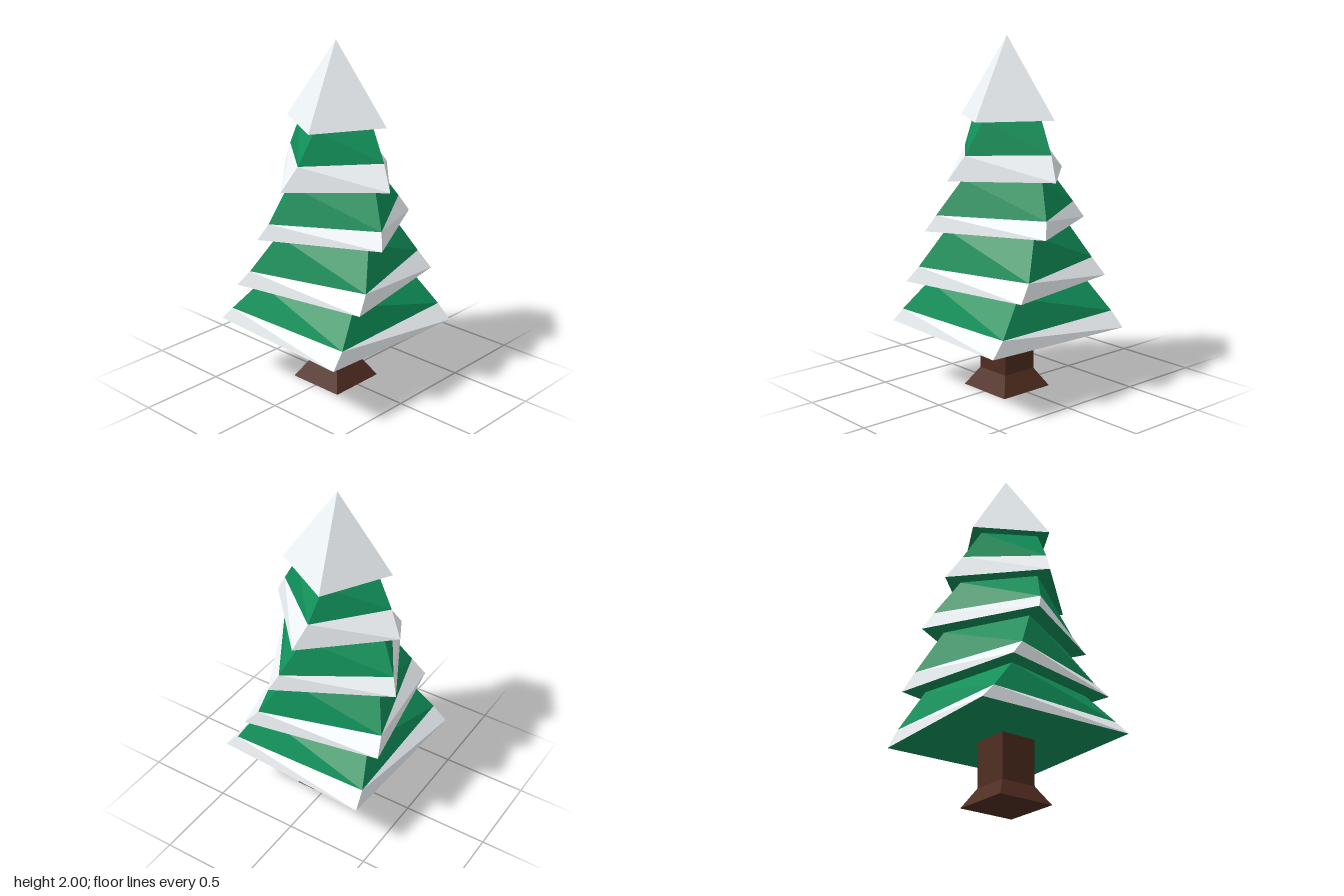
import * as THREE from 'three';

const material = (color) => new THREE.MeshStandardMaterial({ color, flatShading: true });

// Four corners of a square ring: height, corner radius, twist in degrees
function corners([y, r, deg]) {
  return [0, 1, 2, 3].map((k) => {
    const a = THREE.MathUtils.degToRad(deg + 90 * k);
    return [r * Math.cos(a), y, r * Math.sin(a)];
  });
}

function fromTriangles(points) {
  const g = new THREE.BufferGeometry();
  g.setAttribute('position', new THREE.Float32BufferAttribute(points.flat(), 3));
  g.computeVertexNormals();
  return g;
}

// Sloping four-sided band between two twisted rings
function band(lower, upper) {
  const a = corners(lower), b = corners(upper), tris = [];
  for (let k = 0; k < 4; k++) {
    const n = (k + 1) % 4;
    tris.push(a[n], a[k], b[n]);
    if (upper[1] > 0) tris.push(a[k], b[k], b[n]);
  }
  return fromTriangles(tris);
}

// Flat square facing down
function underside(ring) {
  const a = corners(ring);
  return fromTriangles([a[0], a[1], a[2], a[0], a[2], a[3]]);
}

export function createModel() {
  const tree = new THREE.Group();
  tree.name = 'snowyTree';
  const green = material(0x10905a);
  const snow = material(0xeef3f6);
  const bark = material(0x4f2c20);

  const add = (parent, name, geometry, mat) => {
    const mesh = new THREE.Mesh(geometry, mat);
    mesh.name = name;
    parent.add(mesh);
    return mesh;
  };

  // Trunk with a flared foot
  const trunk = new THREE.Group();
  trunk.name = 'trunk';
  add(trunk, 'trunkPost', new THREE.BoxGeometry(0.216, 0.27, 0.216), bark).position.y = 0.24;
  add(trunk, 'trunkFootSides', band([0, 0.172 * Math.SQRT2, 45], [0.105, 0.108 * Math.SQRT2, 45]), bark);
  add(trunk, 'trunkFootBase', underside([0, 0.172 * Math.SQRT2, 45]), bark);
  tree.add(trunk);

  // Tiers from the bottom up: hem, top of the snow edge, top of the foliage
  const tiers = [
    [[0.365, 0.659, 48], [0.45, 0.594, 43.7], [0.635, 0.44, 34]],
    [[0.635, 0.568, 34.2], [0.73, 0.503, 28.5], [0.95, 0.364, 18]],
    [[0.95, 0.491, 17.1], [1.04, 0.437, 13.2], [1.235, 0.306, 3.5]],
    [[1.235, 0.412, 2.5], [1.37, 0.328, -5], [1.55, 0.227, -14]],
  ];
  tiers.forEach(([hem, snowTop, top], i) => {
    const tier = new THREE.Group();
    tier.name = `tier${i + 1}`;
    add(tier, 'snowEdge', band(hem, snowTop), snow);
    add(tier, 'foliage', band(snowTop, top), green);
    add(tier, 'tierUnderside', underside(hem), green);
    tree.add(tier);
  });

  // Snow-covered peak
  const peak = new THREE.Group();
  peak.name = 'peak';
  const peakHem = [1.55, 0.308, -15];
  add(peak, 'peakSnow', band(peakHem, [2, 0, -15]), snow);
  add(peak, 'peakUnderside', underside(peakHem), green);
  tree.add(peak);

  return tree;
}
